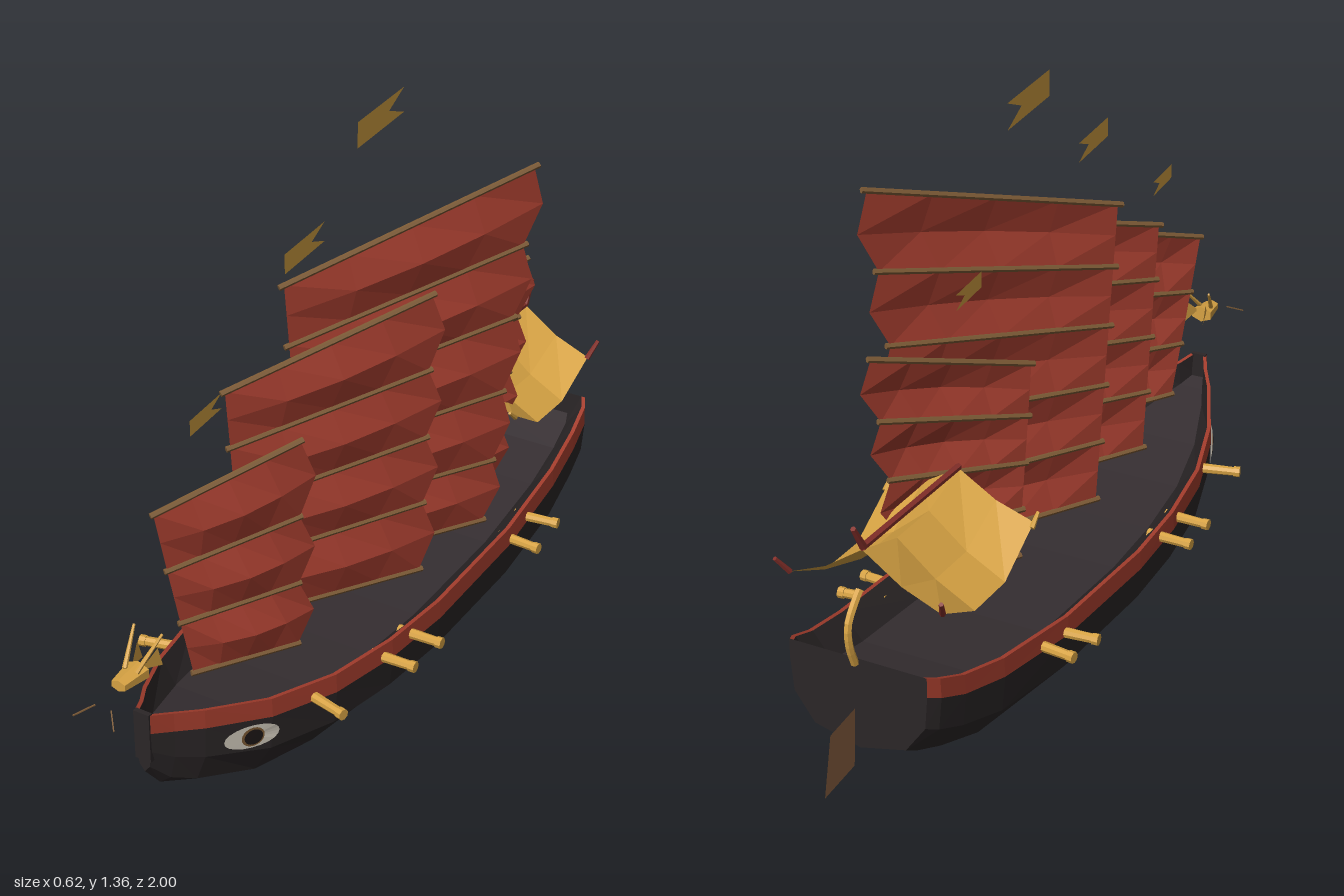
import * as THREE from 'three';

const mat = (name, color) => new THREE.MeshStandardMaterial({ name, color, flatShading: true, side: THREE.DoubleSide });

// hull stations from bow to stern: z, keel height, sheer height, half width
const stations = [
  [0.84, 0.18, 0.33, 0.02], [0.79, 0.12, 0.315, 0.045], [0.73, 0.085, 0.3, 0.082], [0.58, 0.03, 0.265, 0.152],
  [0.4, 0.01, 0.24, 0.202], [0.2, 0.004, 0.226, 0.226], [0, 0, 0.222, 0.234], [-0.35, 0.005, 0.235, 0.226],
  [-0.61, 0.03, 0.268, 0.208], [-0.75, 0.08, 0.302, 0.192], [-0.83, 0.115, 0.335, 0.181], [-0.86, 0.13, 0.348, 0.165],
];
const band = 0.046;

// half section from keel to the lower edge of the painted band
const section = ([z, k, s, w]) => [[0, 0], [0.67, 0.16], [0.96, 0.55], [1, 1]].map(([f, g]) => [w * f, k + (s - band - k) * g, z]);

// skin between cross-sections that share a point count
function loft(rows) {
  const n = rows[0].length, index = [];
  for (let i = 0; i < rows.length - 1; i++) for (let j = 0; j < n - 1; j++) {
    const a = i * n + j, b = a + n;
    index.push(a, b, a + 1, b, b + 1, a + 1);
  }
  const g = new THREE.BufferGeometry();
  g.setAttribute('position', new THREE.Float32BufferAttribute(rows.flat(2), 3));
  g.setIndex(index);
  const flat = g.toNonIndexed();
  flat.computeVertexNormals();
  return flat;
}

// half width of the hull at a given z and y
function hullX(z, y) {
  let i = 0;
  while (i < stations.length - 2 && stations[i + 1][0] > z) i++;
  const t = (stations[i][0] - z) / (stations[i][0] - stations[i + 1][0]);
  const p = section(stations[i]), q = section(stations[i + 1]);
  const pts = p.map((a, j) => a.map((v, c) => v + (q[j][c] - v) * t));
  let j = 0;
  while (j < pts.length - 2 && pts[j + 1][1] < y) j++;
  const u = (y - pts[j][1]) / (pts[j + 1][1] - pts[j][1]);
  return pts[j][0] + (pts[j + 1][0] - pts[j][0]) * Math.min(u, 1);
}

export function createModel() {
  const root = new THREE.Group();
  const M = {
    hull: mat('dark hull', 0x2b2627), deck: mat('deck', 0x352e31), red: mat('painted red', 0xa23c2c),
    sail: mat('sail red', 0x9c3a2c), gold: mat('gold', 0xd6a243), batten: mat('batten brown', 0x7c5a35),
    rudder: mat('rudder brown', 0x8c6242), pole: mat('pole red', 0x85302a),
    white: mat('eye white', 0xd0c9bb), pupil: mat('pupil', 0x1c1615),
  };
  const add = (name, geo, material, parent = root) => {
    const m = new THREE.Mesh(geo, material);
    m.name = name;
    parent.add(m);
    return m;
  };
  const V = (p) => new THREE.Vector3(...p);
  // round bar between two points
  const bar = (name, a, b, r0, r1, material, parent = root, sides = 6) => {
    const A = V(a), B = V(b), d = B.clone().sub(A);
    const m = add(name, new THREE.CylinderGeometry(r1, r0, d.length(), sides), material, parent);
    m.position.copy(A).add(B).multiplyScalar(0.5);
    m.quaternion.setFromUnitVectors(new THREE.Vector3(0, 1, 0), d.normalize());
    return m;
  };
  const flip = (p, s) => [p[0] * s, p[1], p[2]];

  // hull, bulwarks and deck
  for (const s of [1, -1]) {
    const rows = (fn) => stations.map((st) => fn(st).map((p) => flip(p, s)));
    add('hullSide', loft(rows(section)), M.hull);
    add('paintedBand', loft(rows(([z, , h, w]) => [[w, h - band, z], [w * 0.99, h, z], [w * 0.99 - Math.min(0.01, w / 2), h, z]])), M.red);
    add('innerBulwark', loft(rows(([z, , h, w]) => [[w * 0.99 - Math.min(0.01, w / 2), h, z], [w * 0.7, h - 0.06, z]])), M.hull);
  }
  add('deck', loft(stations.map(([z, , h, w]) => [[-w * 0.7, h - 0.06, z], [w * 0.7, h - 0.06, z]])), M.deck);
  for (const [name, st] of [['stem', stations[0]], ['transom', stations[stations.length - 1]]]) {
    const pts = [...section(st), [st[3], st[2], st[0]]];
    add(name, loft([pts, pts.map((p) => flip(p, -1))]), M.hull);
  }
  add('stemPost', new THREE.BoxGeometry(0.04, 0.12, 0.012), M.hull).position.set(0, 0.272, 0.838);

  // rudder blade
  add('rudder', loft([[[0, 0.235, -0.875], [0, 0.1, -0.885]], [[0, 0.225, -0.97], [0, 0.09, -1]]]), M.rudder);

  // painted eyes laid on the hull
  for (const s of [1, -1]) {
    const eye = (name, rz, ry, lift, material) => {
      const g = new THREE.CircleGeometry(1, 20), p = g.attributes.position;
      for (let i = 0; i < p.count; i++) {
        const u = p.getX(i) * rz, z = 0.63 + u, y = 0.19 + p.getY(i) * ry + u * 0.15;
        p.setXYZ(i, s * (hullX(z, y) + lift), y, z);
      }
      g.computeVertexNormals();
      add(name, g, material);
    };
    eye('eyeWhite', 0.064, 0.03, 0.006, M.white);
    eye('eyeRing', 0.026, 0.025, 0.008, M.batten);
    eye('eyePupil', 0.021, 0.02, 0.0095, M.pupil);
  }

  // cannons
  for (const [z, y, x, tilt] of [[0.465, 0.212, 0.19, 0.02], [0.232, 0.197, 0.22, -0.002], [0.122, 0.2, 0.225, -0.002], [-0.362, 0.2, 0.22, 0.006], [-0.455, 0.214, 0.215, -0.01]])
    for (const s of [1, -1]) {
      const g = new THREE.Group();
      g.name = 'cannon';
      root.add(g);
      bar('barrel', [s * (x - 0.03), y, z - tilt * 0.4], [s * (x + 0.08), y, z + tilt], 0.013, 0.011, M.gold, g, 8);
      bar('muzzle', [s * (x + 0.068), y, z + tilt * 0.85], [s * (x + 0.083), y, z + tilt * 1.05], 0.0135, 0.0135, M.gold, g, 8);
    }

  // sails: mast z, luff and leech z at foot and head, luff and leech heights at each batten
  const sails = [
    ['foreSail', 0.61, [0.635, 0.42], [0.7, 0.41], [0.305, 0.44, 0.578, 0.722], [0.305, 0.46, 0.626, 0.81]],
    ['secondSail', 0.27, [0.37, -0.01], [0.4, -0.03], [0.283, 0.433, 0.578, 0.727, 0.866], [0.283, 0.46, 0.63, 0.8, 0.985]],
    ['mainSail', -0.01, [0.1, -0.3], [0.145, -0.395], [0.27, 0.42, 0.565, 0.715, 0.86, 1.01], [0.27, 0.43, 0.61, 0.8, 0.98, 1.17]],
    ['mizzenSail', -0.31, [-0.24, -0.48], [-0.21, -0.545], [0.283, 0.4, 0.515, 0.63, 0.755], [0.283, 0.42, 0.565, 0.71, 0.86]],
  ];
  const lean = 0.6, cols = 4;
  for (const [name, mast, foot, head, luff, leech] of sails) {
    const g = new THREE.Group();
    g.name = name;
    root.add(g);
    const n = luff.length - 1, rows = [];
    const lerp = (arr, r) => {
      const i = Math.min(Math.floor(r), n - 1);
      return arr[i] + (arr[i + 1] - arr[i]) * (r - i);
    };
    const at = (r, u, out = 0, grow = 0) => {
      const t = r / n;
      const z0 = foot[0] + (head[0] - foot[0]) * t, z1 = foot[1] + (head[1] - foot[1]) * t - grow;
      const z = z0 + (z1 - z0) * u;
      return [(mast - z) * lean + out * 0.85, lerp(luff, r) * (1 - u) + lerp(leech, r) * u, z + out * 0.53];
    };
    for (let r = 0; r <= 2 * n; r++) {
      const mid = r % 2;
      rows.push(Array.from({ length: cols + 1 }, (_, c) => at(r / 2, c / cols, mid * 0.03 * Math.sin(Math.PI * c / cols), mid * 0.032)));
    }
    add('cloth', loft(rows), M.sail, g);
    for (let r = 0; r <= n; r++) bar('batten', at(r, -0.02), at(r, 1.02), 0.007, 0.007, M.batten, g);
  }

  // swallowtail pennants
  for (const [z, y, len, h] of [[0.635, 0.91, 0.135, 0.036], [0.28, 1.137, 0.19, 0.046], [-0.01, 1.328, 0.24, 0.06], [-0.32, 0.985, 0.135, 0.036]]) {
    const s = new THREE.Shape([[0, -h / 2], [len, -h / 2], [len * 0.67, 0], [len, h / 2], [0, h / 2]].map((p) => new THREE.Vector2(...p)));
    const f = add('pennant', new THREE.ShapeGeometry(s), M.gold);
    f.position.set(0, y, z);
    f.rotation.y = Math.PI / 2 + 0.11;
  }

  // stern awning with ridge pole and upturned horns
  const roof = [[-0.43, 0.585, 0.5], [-0.56, 0.545, 0.42], [-0.69, 0.545, 0.42], [-0.825, 0.585, 0.485]];
  add('awning', loft(roof.map(([z, r, e]) => [[-0.182, e, z], [-0.09, (r + e) / 2 - 0.012, z], [0, r, z], [0.09, (r + e) / 2 - 0.012, z], [0.182, e, z]])), M.gold);
  bar('ridgePole', [0, 0.59, -0.43], [0, 0.59, -0.825], 0.008, 0.008, M.pole);
  bar('ridgeHorn', [0, 0.59, -0.82], [0, 0.648, -0.855], 0.009, 0.006, M.pole);
  for (const s of [1, -1]) {
    bar('eaveHorn', [s * 0.182, 0.483, -0.82], [s * 0.197, 0.525, -0.85], 0.007, 0.005, M.pole);
    bar('eaveTip', [s * 0.182, 0.49, -0.44], [s * 0.182, 0.515, -0.41], 0.007, 0.004, M.gold);
  }
  const hook = new THREE.CatmullRomCurve3([[0, 0.34, -0.868], [0, 0.39, -0.886], [0, 0.44, -0.888], [0, 0.475, -0.865], [0, 0.5, -0.84]].map(V));
  add('sternHook', new THREE.TubeGeometry(hook, 10, 0.009, 6), M.gold);

  // bow figurehead
  const fig = new THREE.Group();
  fig.name = 'figurehead';
  root.add(fig);
  const skull = add('head', new THREE.CylinderGeometry(0.022, 0.034, 0.07, 6), M.gold, fig);
  skull.rotation.x = Math.PI / 2;
  skull.scale.set(0.9, 1, 0.6);
  skull.position.set(0, 0.442, 0.878);
  for (const s of [1, -1]) {
    bar('horn', [s * 0.015, 0.455, 0.87], [s * 0.036, 0.52, 0.805], 0.006, 0.003, M.gold, fig);
    bar('whisker', [s * 0.02, 0.42, 0.965], [s * 0.052, 0.402, 1], 0.002, 0.002, M.batten, fig, 4);
    add('mane', loft([[[s * 0.012, 0.45, 0.85], [s * 0.012, 0.45, 0.85]], [[s * 0.026, 0.485, 0.81], [s * 0.026, 0.435, 0.795]]]), M.gold, fig);
  }
  return root;
}
